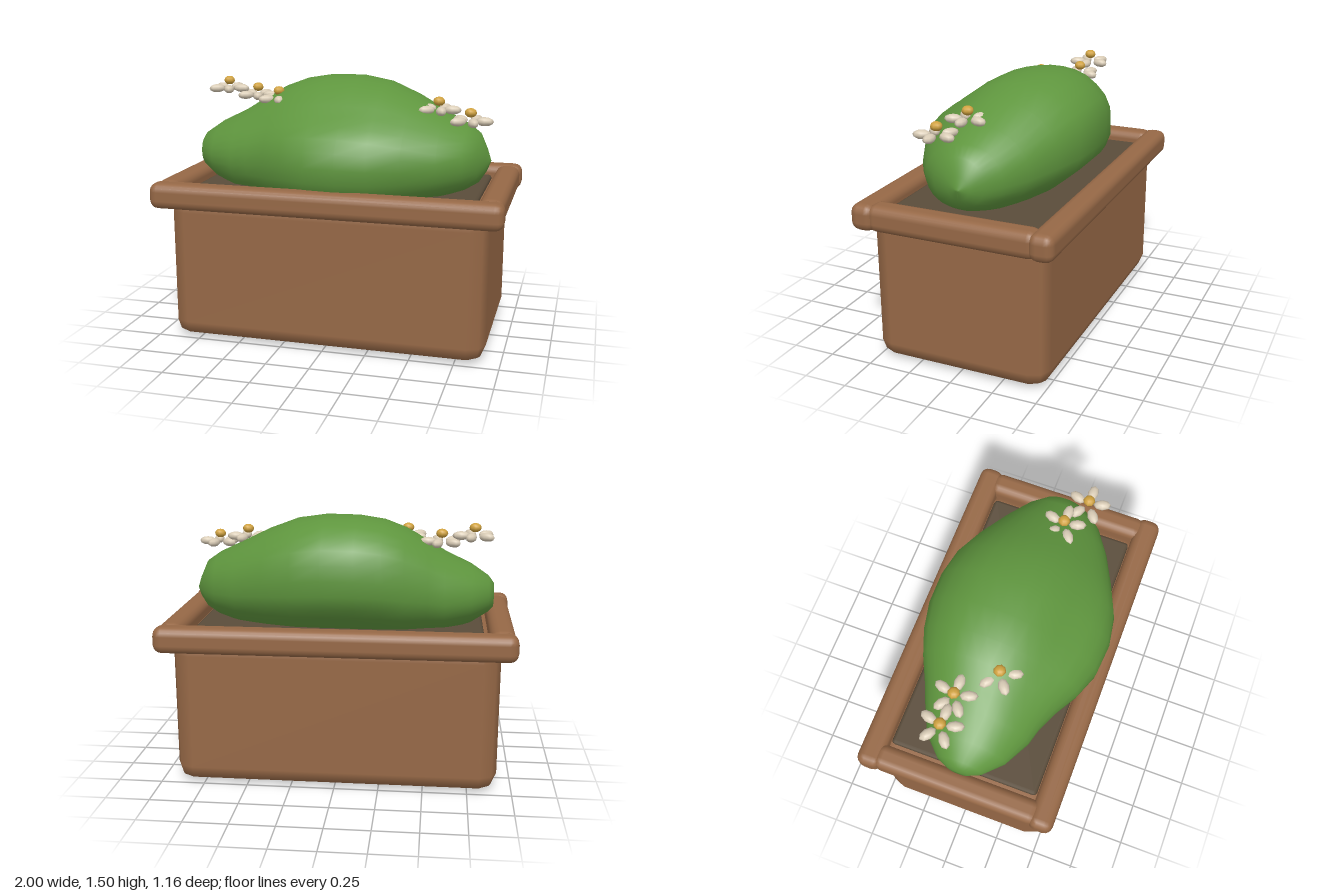
import * as THREE from 'three';
import { RoundedBoxGeometry } from 'three/addons/geometries/RoundedBoxGeometry.js';
import { mergeVertices } from 'three/addons/utils/BufferGeometryUtils.js';

const material = (name, color) => {
  const m = new THREE.MeshStandardMaterial({ color });
  m.name = name;
  return m;
};

function addMesh(parent, name, geometry, mat, x = 0, y = 0, z = 0) {
  const mesh = new THREE.Mesh(geometry, mat);
  mesh.name = name;
  mesh.position.set(x, y, z);
  parent.add(mesh);
  return mesh;
}

// Bush: lofted along x; sections blend from the leaning middle outline to ellipses at the ends
function bushGeometry() {
  const outline = [ // [z, y] from the bottom, up the front, over the top, down the back
    [0.1, 0.8], [0.4, 0.82], [0.52, 0.93], [0.54, 1.05], [0.53, 1.13], [0.45, 1.24], [0.33, 1.32],
    [0.2, 1.42], [0.08, 1.48], [-0.1, 1.505], [-0.26, 1.48], [-0.37, 1.41], [-0.45, 1.31],
    [-0.46, 1.2], [-0.45, 1.06], [-0.32, 0.93], [-0.15, 0.82],
  ];
  const sections = [ // x, bottom, top, back z, front z
    [-0.885, 1.03, 1.04, -0.01, 0.01], [-0.88, 0.97, 1.11, -0.06, 0.06], [-0.85, 0.94, 1.15, -0.13, 0.13],
    [-0.75, 0.88, 1.22, -0.23, 0.23], [-0.6, 0.83, 1.295, -0.3, 0.31], [-0.5, 0.82, 1.36, -0.34, 0.34],
    [-0.37, 0.8, 1.435, -0.4, 0.4], [-0.25, 0.8, 1.48, -0.44, 0.47], [-0.1, 0.8, 1.503, -0.465, 0.525],
    [0.08, 0.8, 1.505, -0.465, 0.54], [0.25, 0.8, 1.48, -0.44, 0.515], [0.42, 0.82, 1.415, -0.375, 0.44],
    [0.6, 0.85, 1.325, -0.285, 0.35], [0.73, 0.89, 1.26, -0.2, 0.26], [0.8, 0.93, 1.21, -0.125, 0.17],
    [0.84, 0.99, 1.12, -0.06, 0.07], [0.862, 1.045, 1.055, -0.01, 0.01],
  ];
  const n = 32;
  const curve = new THREE.CatmullRomCurve3(outline.map(([z, y]) => new THREE.Vector3(0, y, z)), true);
  const ring = curve.getSpacedPoints(n).slice(0, n).map((p) => {
    const u = (p.z - 0.04) / 0.5, v = (p.y - 1.1525) / 0.3525, len = Math.hypot(u, v);
    return { u, v, eu: u / len, ev: v / len };
  });
  const positions = [], index = [];
  sections.forEach(([x, bottom, top, back, front], i) => {
    const t = Math.pow(Math.abs(x) / 0.885, 1.3);
    for (const p of ring) {
      const u = THREE.MathUtils.lerp(p.u, p.eu, t), v = THREE.MathUtils.lerp(p.v, p.ev, t);
      positions.push(x, (bottom + top) / 2 + v * (top - bottom) / 2, (front + back) / 2 + u * (front - back) / 2);
    }
    if (i === 0) return;
    for (let j = 0; j < n; j++) {
      const k = (j + 1) % n, a = (i - 1) * n, b = i * n;
      index.push(a + j, b + j, b + k, a + j, b + k, a + k);
    }
  });
  // close both tips
  const last = (sections.length - 1) * n;
  for (let j = 1; j < n - 1; j++) index.push(0, j, j + 1, last, last + j + 1, last + j);
  const g = new THREE.BufferGeometry();
  g.setAttribute('position', new THREE.Float32BufferAttribute(positions, 3));
  g.setIndex(index);
  const merged = mergeVertices(g, 1e-4);
  merged.computeVertexNormals();
  return merged;
}

export function createModel() {
  const terracotta = material('terracotta', 0x966846);
  const soilBrown = material('soil brown', 0x5a4c3a);
  const leafGreen = material('leaf green', 0x5f963e);
  const petalCream = material('petal cream', 0xd9ccb6);
  const pollenGold = material('pollen gold', 0xd0a23f);

  const model = new THREE.Group();
  model.name = 'flowerPlanter';

  // Trough and soil
  addMesh(model, 'trough', new RoundedBoxGeometry(1.83, 0.86, 1.02, 1, 0.1), terracotta, 0, 0.43, 0);
  addMesh(model, 'soil', new RoundedBoxGeometry(1.65, 0.08, 0.87, 1, 0.02), soilBrown, 0, 0.84, 0);

  // Rim rails
  const longRail = new RoundedBoxGeometry(2, 0.15, 0.14, 2, 0.05);
  const shortRail = new RoundedBoxGeometry(0.14, 0.15, 0.97, 2, 0.05);
  for (const s of [-1, 1]) {
    addMesh(model, s > 0 ? 'frontRim' : 'backRim', longRail, terracotta, 0, 0.86, s * 0.51);
    addMesh(model, s > 0 ? 'leftRim' : 'rightRim', shortRail, terracotta, s * 0.92, 0.86, 0);
  }

  addMesh(model, 'bush', bushGeometry(), leafGreen);

  // Five-petalled flowers; y is the petal height
  const petal = new THREE.SphereGeometry(1, 8, 6).scale(0.05, 0.025, 0.03);
  const heart = new THREE.SphereGeometry(1, 8, 6).scale(0.034, 0.026, 0.034);
  const flowers = [
    [-0.76, 1.4, -0.12], [-0.575, 1.365, -0.12], [-0.38, 1.37, 0.06],
    [0.57, 1.345, 0.08], [0.76, 1.3, 0.165],
  ];
  for (const [x, y, z] of flowers) {
    const flower = new THREE.Group();
    flower.name = 'flower';
    flower.position.set(x, y, z);
    for (let i = 0; i < 5; i++) {
      const a = (i / 5) * Math.PI * 2;
      addMesh(flower, 'petal', petal, petalCream, Math.cos(a) * 0.077, 0, Math.sin(a) * 0.077).rotation.y = -a;
    }
    addMesh(flower, 'flowerCentre', heart, pollenGold, 0, 0.046, 0);
    model.add(flower);
  }
  return model;
}
